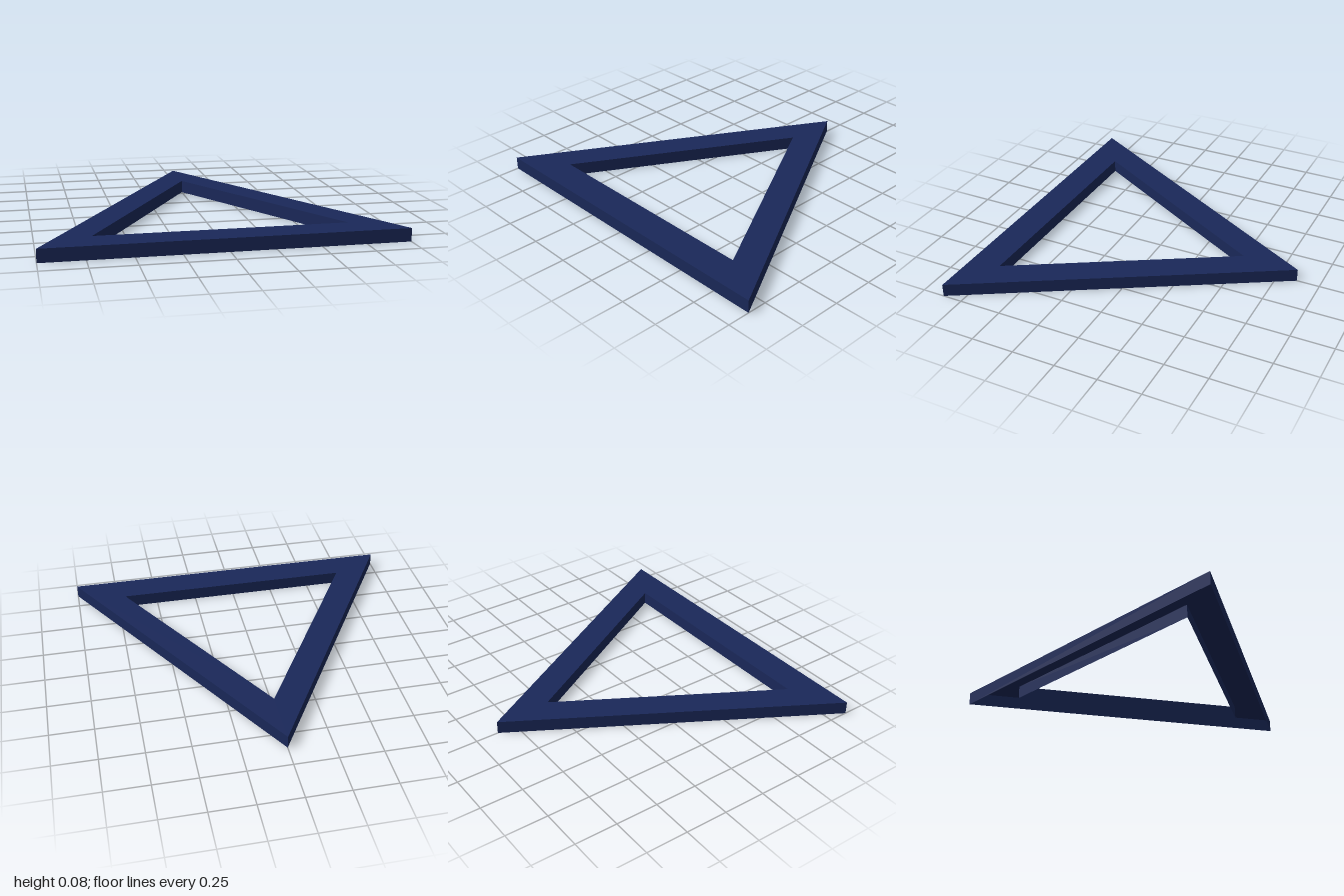
import * as THREE from 'three';

const HEIGHT = 0.075;

// Corner points of a triangle from its half width, rear tip and front edge (x, z)
function corners(halfWidth, tipZ, baseZ) {
  return [[-halfWidth, baseZ], [halfWidth, baseZ], [0, tipZ]];
}

// Traces the corners on a shape or hole; shape y is -z
function trace(path, points) {
  return path.setFromPoints(points.map(([x, z]) => new THREE.Vector2(x, -z)));
}

// One upright wall between two corners, facing right of its direction
function wall([ax, az], [bx, bz], material, name) {
  const length = Math.hypot(bx - ax, bz - az);
  const mesh = new THREE.Mesh(new THREE.PlaneGeometry(length, HEIGHT), material);
  mesh.position.set((ax + bx) / 2, HEIGHT / 2, (az + bz) / 2);
  mesh.rotation.y = Math.atan2(az - bz, bx - ax);
  mesh.name = name;
  return mesh;
}

export function createModel() {
  const group = new THREE.Group();
  group.name = 'triangleFrame';

  const navy = new THREE.MeshStandardMaterial({ color: 0x1a2859, side: THREE.DoubleSide });
  navy.name = 'navy';

  const outer = corners(1, -0.866, 0.866);
  const inner = corners(0.703, -0.535, 0.683);

  // Flat top band with a triangular opening
  const outline = trace(new THREE.Shape(), outer);
  outline.holes.push(trace(new THREE.Path(), inner));
  const top = new THREE.Mesh(new THREE.ShapeGeometry(outline), navy);
  top.rotation.x = -Math.PI / 2;
  top.position.y = HEIGHT;
  top.name = 'topBand';
  group.add(top);

  // Thin walls around the outside and the opening; the underside is open
  for (let i = 0; i < 3; i++) {
    const next = (i + 1) % 3;
    group.add(wall(outer[i], outer[next], navy, 'outerWall'));
    group.add(wall(inner[next], inner[i], navy, 'innerWall'));
  }
  return group;
}
